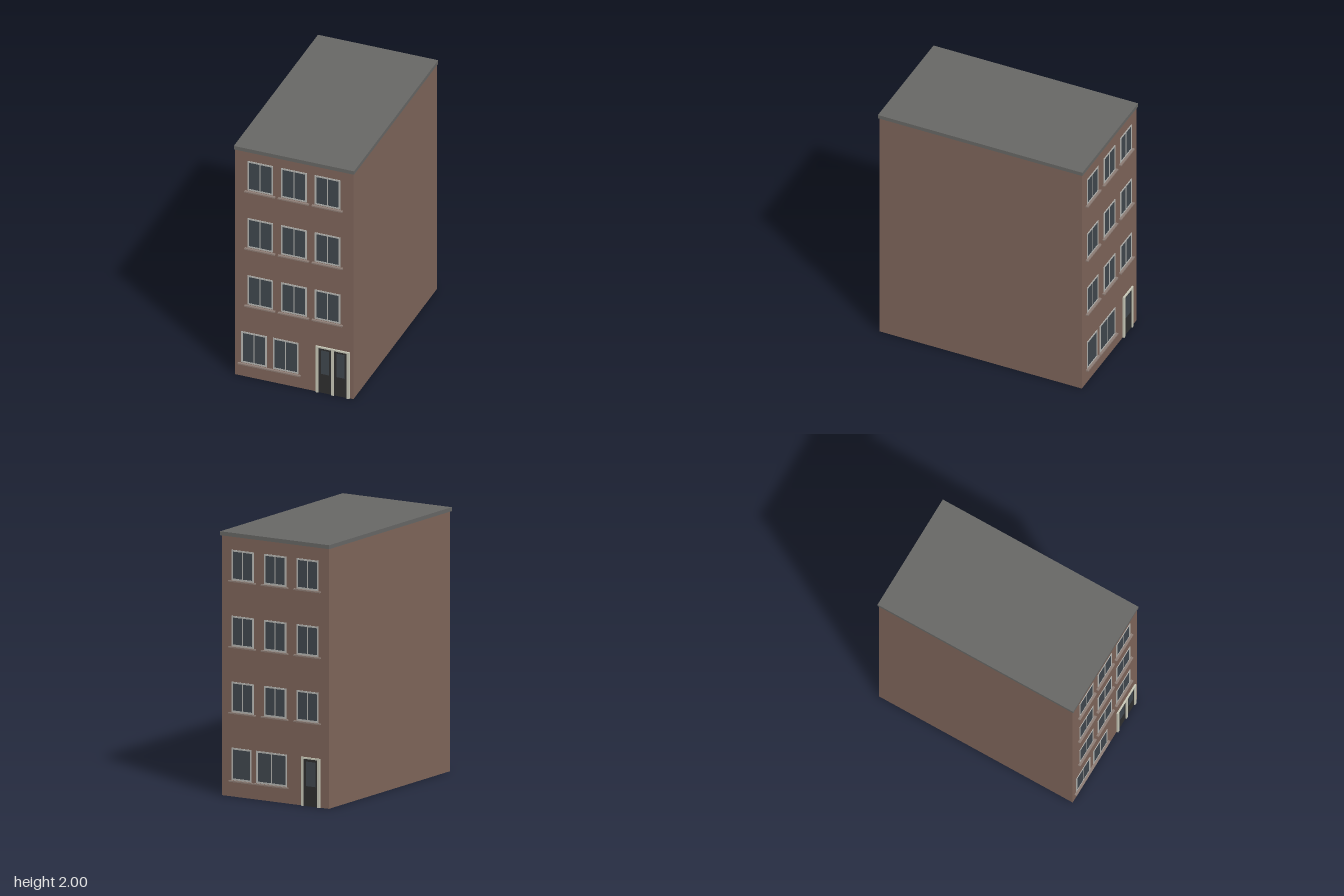
import * as THREE from 'three';

const mat = (color) => new THREE.MeshStandardMaterial({ color });
const brick = mat(0x7d6459);
brick.side = THREE.DoubleSide;
const roofGrey = mat(0x666664);
const glass = mat(0x3f464d);
const frame = mat(0xb4b4b0);
const stone = mat(0x8c7c74);
const doorDark = mat(0x2e2e2e);
const doorTrim = mat(0xc6c6b6);

const WALL_Z = 0.832;

// Box given by its x and y range, standing out from the wall plane (z = 0) by depth
function slab(parent, name, material, x0, x1, y0, y1, depth) {
  const mesh = new THREE.Mesh(new THREE.BoxGeometry(x1 - x0, y1 - y0, depth), material);
  mesh.position.set((x0 + x1) / 2, (y0 + y1) / 2, depth / 2);
  mesh.name = name;
  parent.add(mesh);
}

// Rectangular frame with any number of rectangular openings
function pierced(parent, name, material, outer, openings, depth) {
  const corners = ([x0, x1, y0, y1]) =>
    [[x0, y0], [x1, y0], [x1, y1], [x0, y1]].map(([x, y]) => new THREE.Vector2(x, y));
  const shape = new THREE.Shape(corners(outer));
  shape.holes = openings.map((o) => new THREE.Path(corners(o).reverse()));
  const mesh = new THREE.Mesh(
    new THREE.ExtrudeGeometry(shape, { depth, bevelEnabled: false }), material);
  mesh.name = name;
  parent.add(mesh);
}

// Framed window split into equal panes
function addWindow(parent, cx, width, y0, y1, panes) {
  const g = new THREE.Group();
  g.name = 'window';
  const x0 = cx - width / 2, x1 = cx + width / 2, t = 0.013, bar = 0.008;
  const pane = (width - 2 * t - (panes - 1) * bar) / panes;
  const openings = [];
  for (let i = 0; i < panes; i++) {
    const px = x0 + t + i * (pane + bar);
    openings.push([px, px + pane, y0 + t, y1 - t]);
  }
  pierced(g, 'windowFrame', frame, [x0, x1, y0, y1], openings, 0.004);
  slab(g, 'windowGlass', glass, x0 + 0.005, x1 - 0.005, y0 + 0.005, y1 - 0.005, 0.002);
  parent.add(g);
}

function addSill(parent, cx, width, y) {
  slab(parent, 'windowSill', stone, cx - width / 2, cx + width / 2, y - 0.005, y + 0.005, 0.02);
}

// Door with trim, one or more leaves and a glazed upper panel in each leaf
function addDoor(parent, x0, x1, height, leaves) {
  const g = new THREE.Group();
  g.name = 'door';
  const t = 0.02, post = 0.022;
  const leaf = (x1 - x0 - 2 * t - (leaves - 1) * post) / leaves;
  const top = height - 0.012;
  slab(g, 'doorPost', doorTrim, x0, x0 + t, 0, top, 0.013);
  slab(g, 'doorPost', doorTrim, x1 - t, x1, 0, top, 0.013);
  slab(g, 'doorLintel', doorTrim, x0, x1, top, height, 0.013);
  for (let i = 0; i < leaves; i++) {
    const lx = x0 + t + i * (leaf + post);
    slab(g, 'doorLeaf', doorDark, lx, lx + leaf, 0, top, 0.004);
    slab(g, 'doorGlass', glass, lx + 0.02, lx + leaf - 0.02, height * 0.41, height - 0.033, 0.0055);
    if (i > 0) slab(g, 'doorPost', doorTrim, lx - post, lx, 0, top, 0.013);
  }
  parent.add(g);
}

export function createModel() {
  const model = new THREE.Group();
  model.name = 'townhouse';

  // Walls: box shell open at the bottom
  const shell = new THREE.BoxGeometry(0.946, 1.975, WALL_Z * 2);
  const index = Array.from(shell.index.array);
  index.splice(18, 6);
  shell.setIndex(index);
  shell.clearGroups();
  const walls = new THREE.Mesh(shell, brick);
  walls.position.y = 1.975 / 2;
  walls.name = 'walls';
  model.add(walls);

  // Flat roof slab with a small overhang
  const roof = new THREE.Mesh(new THREE.BoxGeometry(0.962, 0.03, 1.682), roofGrey);
  roof.position.y = 1.985;
  roof.name = 'roof';
  model.add(roof);

  // Front facade
  const front = new THREE.Group();
  front.name = 'frontFacade';
  front.position.z = WALL_Z;
  for (const floor of [0.5, 1, 1.5]) {
    for (const x of [-0.272, -0.003, 0.267]) {
      addWindow(front, x, 0.205, floor + 0.135, floor + 0.39, 2);
      addSill(front, x, 0.245, floor + 0.125);
    }
  }
  for (const x of [-0.322, -0.068]) addWindow(front, x, 0.205, 0.12, 0.39, 2);
  addSill(front, -0.198, 0.5, 0.11);
  addDoor(front, 0.174, 0.444, 0.403, 2);
  model.add(front);

  // Back facade, turned around so its local +x is the model's -x
  const back = new THREE.Group();
  back.name = 'backFacade';
  back.position.z = -WALL_Z;
  back.rotation.y = Math.PI;
  for (const floor of [0.5, 1, 1.5]) {
    for (const x of [-0.288, 0, 0.285]) {
      addWindow(back, x, 0.195, floor + 0.14, floor + 0.37, 2);
      addSill(back, x, 0.235, floor + 0.134);
    }
  }
  addWindow(back, -0.297, 0.175, 0.125, 0.37, 1);
  addSill(back, -0.297, 0.21, 0.118);
  addWindow(back, -0.032, 0.27, 0.125, 0.37, 2);
  addSill(back, -0.032, 0.3, 0.118);
  addDoor(back, 0.233, 0.397, 0.37, 1);
  model.add(back);

  return model;
}
